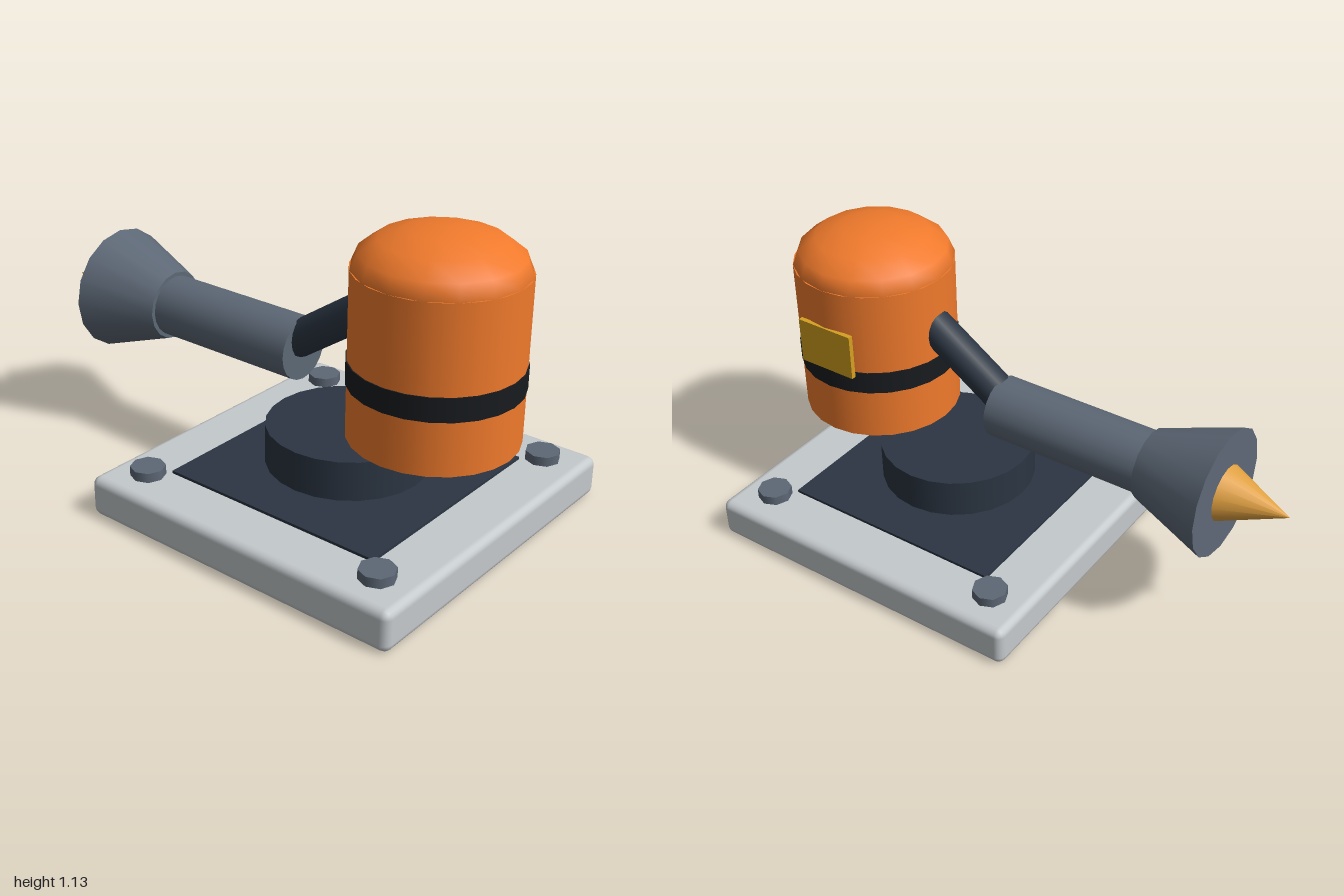
import * as THREE from 'three';
import { RoundedBoxGeometry } from 'three/addons/geometries/RoundedBoxGeometry.js';

const paint = (color) => new THREE.MeshStandardMaterial({ color });

export function createModel() {
  const model = new THREE.Group();
  const orange = paint(0xf07a2c), dark = paint(0x2b3542), black = paint(0x181b1f);
  const steel = paint(0x5d6876), pale = paint(0xc4c9cc), gold = paint(0xd4a020), amber = paint(0xe0a040);

  const add = (name, geometry, material, x, y, z) => {
    const mesh = new THREE.Mesh(geometry, material);
    mesh.name = name;
    mesh.position.set(x, y, z);
    model.add(mesh);
    return mesh;
  };

  // Upright cylinder standing between two heights
  const upright = (name, r, y0, y1, z, material, sides = 24, x = 0) =>
    add(name, new THREE.CylinderGeometry(r, r, y1 - y0, sides), material, x, (y0 + y1) / 2, z);

  // Round part lying along the arm axis, from z0 back to z1
  const armY = 0.547;
  const lying = (name, r0, r1, z0, z1, material, sides) => {
    const geometry = new THREE.CylinderGeometry(r1, r0, z0 - z1, sides);
    geometry.rotateX(-Math.PI / 2);
    return add(name, geometry, material, 0, armY, (z0 + z1) / 2);
  };

  // Base plate with inlay, bolts and turntable
  const baseZ = 0.35;
  add('basePlate', new RoundedBoxGeometry(1.28, 0.15, 1.28, 2, 0.03), pale, 0, 0.075, baseZ);
  add('baseInlay', new THREE.BoxGeometry(0.874, 0.02, 0.874), dark, 0, 0.15, baseZ);
  for (const sx of [-1, 1]) {
    for (const sz of [-1, 1]) {
      upright('bolt', 0.063, 0.145, 0.185, baseZ + sz * 0.497, steel, 8, sx * 0.497);
    }
  }
  upright('turntable', 0.292, 0.18, 0.325, baseZ, dark);

  // Housing with flattened dome, belt and side plate
  const bodyZ = 0.7;
  upright('housing', 0.294, 0.4, 0.988, bodyZ, orange);
  const dome = new THREE.SphereGeometry(0.294, 16, 4, 0, Math.PI * 2, 0, Math.PI / 2);
  dome.scale(1, 0.49, 1);
  add('dome', dome, orange, 0, 0.986, bodyZ);
  upright('belt', 0.298, 0.592, 0.677, bodyZ, black);
  add('sidePlate', new THREE.BoxGeometry(0.018, 0.172, 0.232), gold, 0.292, 0.752, bodyZ);

  // Slanted strut from housing to arm
  const start = new THREE.Vector3(0, 0.801, 0.454), end = new THREE.Vector3(0, 0.575, 0.118);
  const axis = end.clone().sub(start);
  const middle = start.clone().add(end).multiplyScalar(0.5);
  const strut = add('strut', new THREE.CylinderGeometry(0.066, 0.066, axis.length(), 16), dark, 0, middle.y, middle.z);
  strut.quaternion.setFromUnitVectors(new THREE.Vector3(0, 1, 0), axis.normalize());

  // Arm with flared nozzle and pointed tip
  lying('arm', 0.115, 0.115, 0.145, -0.475, steel, 20);
  lying('nozzle', 0.13, 0.233, -0.475, -0.765, steel, 16);
  lying('tip', 0.102, 0, -0.765, -1, amber, 16);

  return model;
}
